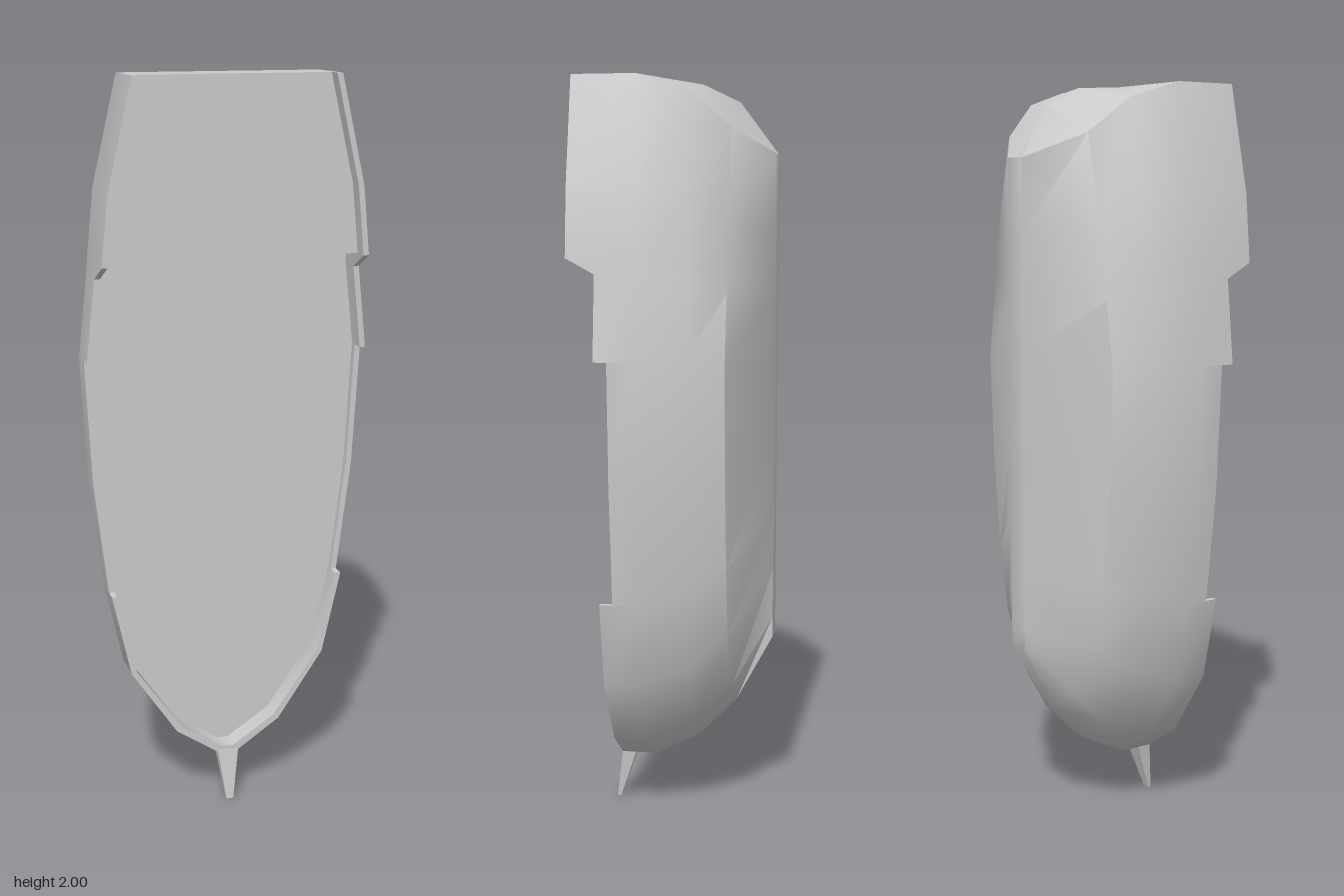
import * as THREE from 'three';
import { toCreasedNormals } from 'three/addons/utils/BufferGeometryUtils.js';

const { lerp } = THREE.MathUtils;
const material = new THREE.MeshStandardMaterial({ color: 0xcccccc, side: THREE.DoubleSide });

// Half outline from the stern centre to the bow: x, y, rim z, deck z
const stations = [
  [0, 2, 0.21, 0.21], [0.255, 2, 0.21, 0.21], [0.255, 2, 0.25, 0.25],
  [0.27, 2, 0.25, 0.21], [0.335, 1.72, 0.25, 0.21], [0.353, 1.54, 0.25, 0.21],
  [0.353, 1.54, 0.25, 0.12], [0.356, 1.5, 0.175, 0.12], [0.38, 1.28, 0.175, 0.12],
  [0.38, 1.28, 0.14, 0.12], [0.363, 0.95, 0.14, 0.12], [0.326, 0.64, 0.14, 0.12],
  [0.326, 0.64, 0.175, 0.12], [0.275, 0.41, 0.175, 0.12], [0.148, 0.22, 0.175, 0.12],
  [0.03, 0.14, 0.175, 0.12],
];
const CORNER = 3; // first station that belongs to the side

// Hull levels towards the keel: z, stern y, bow y, stern bulge, width amidships, width at stern
const levels = [
  [0.08, 2, 0.14, 0, 1, 1],
  [-0.05, 1.96, 0.205, 0.033, 0.92, 0.87],
  [-0.15, 1.87, 0.31, 0.075, 0.795, 0.7],
  [-0.25, 1.81, 0.495, 0, 0, 0],
];

// Cross-section at one station, from the deck over the rim and down to the keel
function section([x, y, rim, deck], i) {
  const side = i >= CORNER;
  const ix = side ? x - 0.015 : x;
  const iy = y + (side ? 0.015 * Math.max(0, 1 - (y - 0.14) / 0.35) : 0);
  const points = [[ix, iy, side ? deck : rim], [ix, iy, rim], [x, y, rim]];
  const t = (y - 0.14) / 1.86;
  for (const [z, top, bottom, bulge, mid, stern] of levels) {
    const scale = lerp(mid, stern, Math.max(0, (t - 0.61) / 0.39));
    const px = mid ? x * scale : Math.min(x, 0.035);
    const lift = y === 2 ? bulge * (1 - Math.min(1, x / 0.27)) : 0;
    points.push([px, lerp(bottom, top, t) + lift, z]);
  }
  return points.map((p) => new THREE.Vector3(...p));
}

const mirror = (p) => new THREE.Vector3(-p.x, p.y, p.z);

// Adds a quad as two triangles, leaving out collapsed ones
function quad(out, a, b, c, d) {
  for (const t of [[a, b, d], [b, c, d]]) {
    const tri = new THREE.Triangle(...t);
    if (tri.getArea() > 1e-7) t.forEach((p) => out.push(p.x, p.y, p.z));
  }
}

function mesh(name, positions, crease) {
  const geometry = new THREE.BufferGeometry();
  geometry.setAttribute('position', new THREE.Float32BufferAttribute(positions, 3));
  const m = new THREE.Mesh(toCreasedNormals(geometry, crease), material);
  m.name = name;
  return m;
}

export function createModel() {
  const group = new THREE.Group();
  group.name = 'boatHull';
  const left = stations.map(section);
  const right = left.map((s) => s.map(mirror));
  const loop = [...left, ...right.slice().reverse()];

  // Shell: rim, sides, stern and bow
  const shell = [];
  for (let i = 0; i < loop.length - 1; i++) {
    for (let r = 0; r < loop[i].length - 1; r++) {
      quad(shell, loop[i][r], loop[i + 1][r], loop[i + 1][r + 1], loop[i][r + 1]);
    }
  }
  // Flat keel strip
  const keel = left[0].length - 1;
  for (let i = 0; i < left.length - 1; i++) {
    quad(shell, left[i][keel], left[i + 1][keel], right[i + 1][keel], right[i][keel]);
  }
  group.add(mesh('hullShell', shell, 0.7));

  // Raised stern deck, step and lower deck
  const deck = [];
  for (let i = CORNER; i < left.length - 1; i++) {
    quad(deck, right[i][0], right[i + 1][0], left[i + 1][0], left[i][0]);
  }
  group.add(mesh('deck', deck, 0.3));

  // Tapered spike at the bow, leaning forward
  const ring = (w, y, z0, z1) => [[w, z1], [w, z0], [-w, z0], [-w, z1]]
    .map(([x, z]) => new THREE.Vector3(x, y, z));
  const base = ring(0.03, 0.145, 0.135, 0.175);
  const tip = ring(0.01, 0, 0.185, 0.195);
  const spike = [];
  for (let i = 0; i < 4; i++) {
    const j = (i + 1) % 4;
    quad(spike, base[i], tip[i], tip[j], base[j]);
  }
  quad(spike, tip[0], tip[3], tip[2], tip[1]);
  quad(spike, ...base);
  group.add(mesh('bowSpike', spike, 0.3));
  return group;
}
